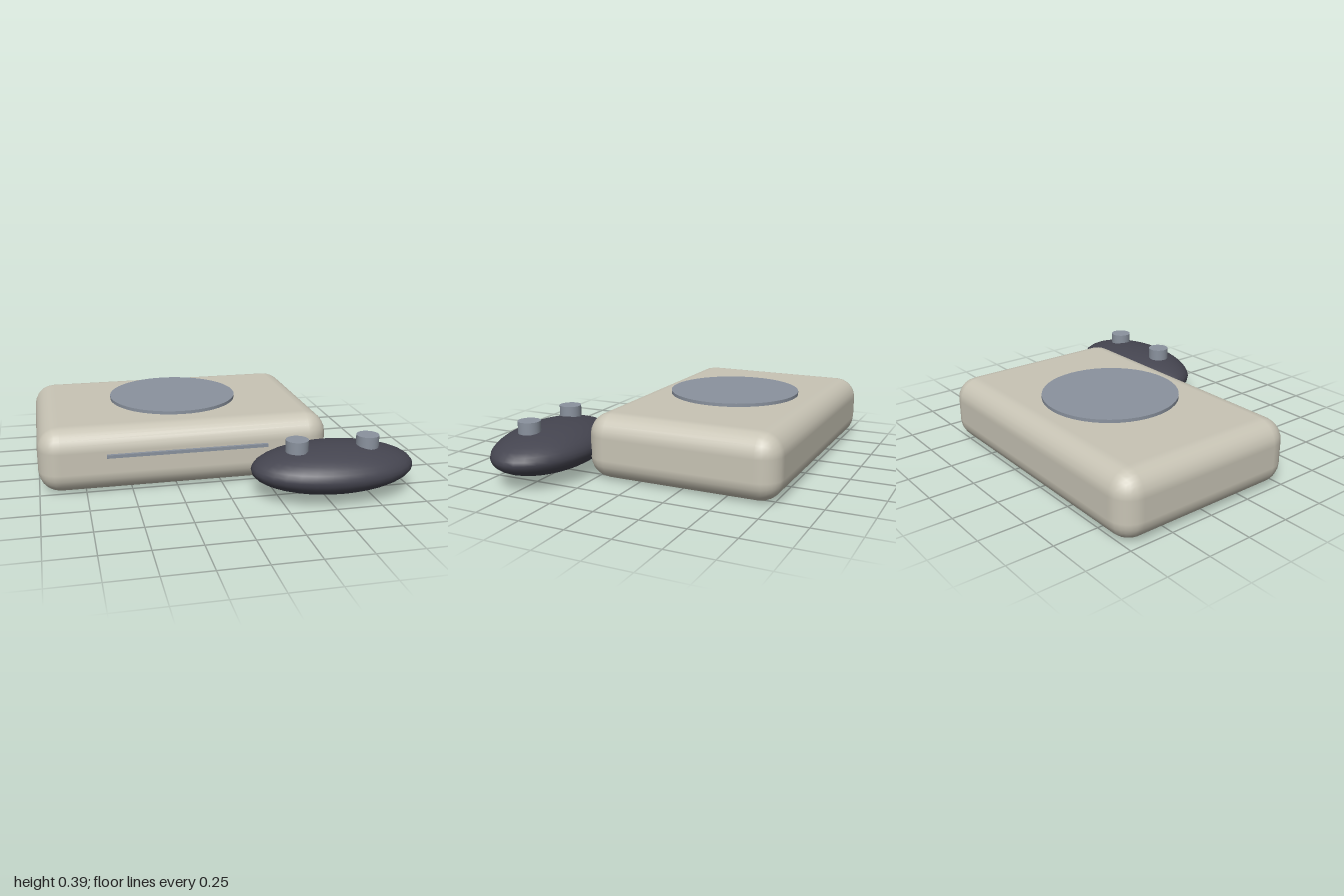
import * as THREE from 'three';
import { RoundedBoxGeometry } from 'three/addons/geometries/RoundedBoxGeometry.js';

const material = (name, color) => {
  const m = new THREE.MeshStandardMaterial({ color });
  m.name = name;
  return m;
};

export function createModel() {
  const group = new THREE.Group();
  const casing = material('warm grey casing', 0xc8c4b5);
  const trim = material('blue grey trim', 0x8a929e);
  const dark = material('dark controller', 0x454550);

  const add = (name, geometry, mat, x, y, z) => {
    const mesh = new THREE.Mesh(geometry, mat);
    mesh.name = name;
    mesh.position.set(x, y, z);
    group.add(mesh);
    return mesh;
  };

  // Console: rounded box, round lid just above it, disc slot on the front
  add('consoleBody', new RoundedBoxGeometry(1.615, 0.36, 1.085, 3, 0.12), casing, -0.193, 0.181, -0.247);
  add('lid', new THREE.CylinderGeometry(0.369, 0.369, 0.018, 48), trim, -0.193, 0.379, -0.247);
  add('frontSlot', new THREE.BoxGeometry(0.888, 0.018, 0.018), trim, -0.193, 0.219, 0.307);

  // Controller: flattened ellipsoid with two thumb sticks
  const pad = new THREE.SphereGeometry(1, 32, 20).scale(0.448, 0.125, 0.262);
  add('controller', pad, dark, 0.548, 0.155, 0.522);
  for (const [name, x] of [['rightStick', 0.337], ['leftStick', 0.73]]) {
    add(name, new THREE.CylinderGeometry(0.061, 0.061, 0.066, 24), trim, x, 0.294, 0.548);
  }
  return group;
}
